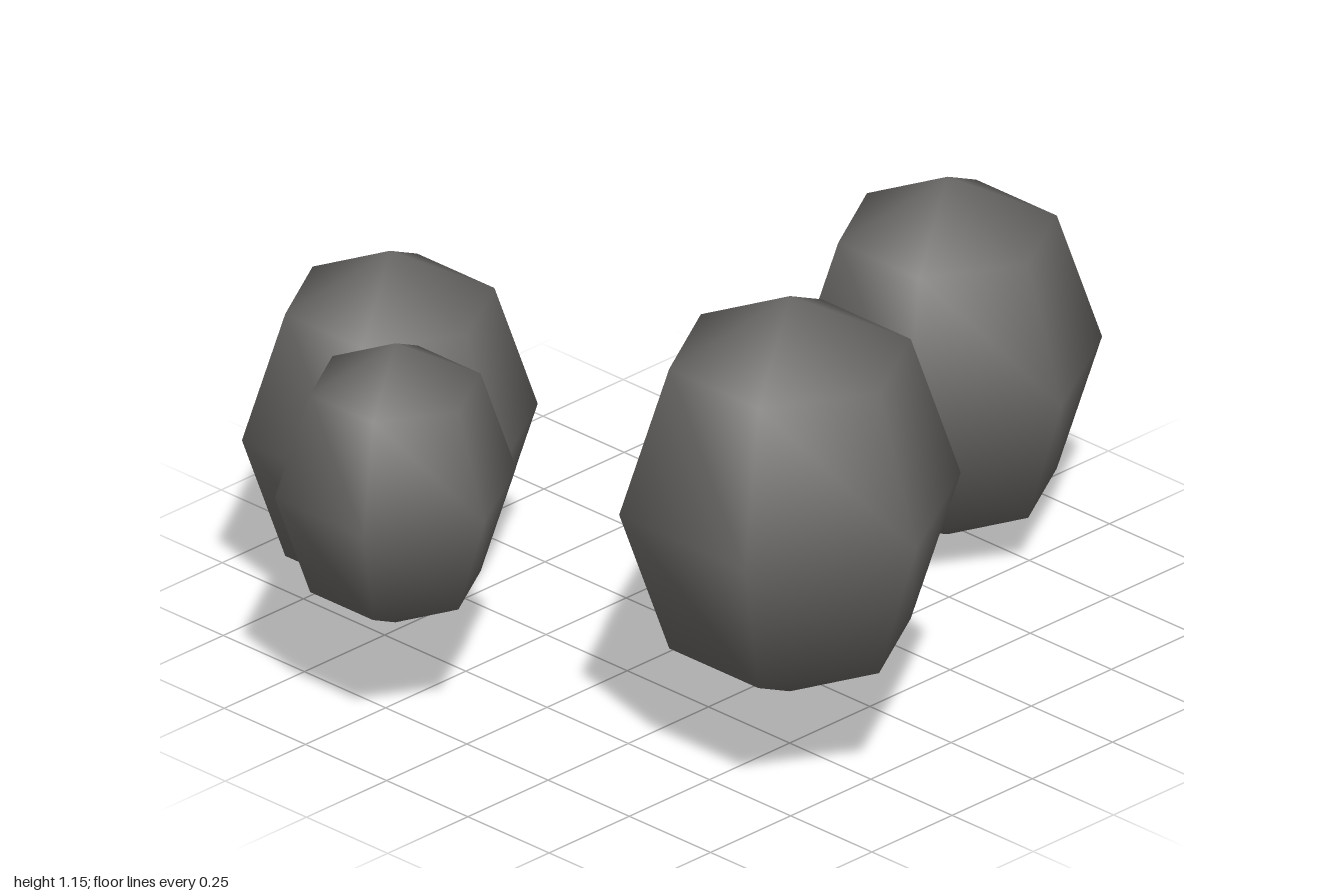
import * as THREE from 'three';

export function createModel() {
  const group = new THREE.Group();
  const stone = new THREE.MeshStandardMaterial({ color: 0x696765 });
  stone.name = 'stoneGrey';

  // One coarse six-sided sphere shared by all rocks, with smooth normals
  const geometry = new THREE.SphereGeometry(1, 6, 4);

  // Each rock: name, centre x, y, z and radius; all are 1.25 times taller than wide
  const rocks = [
    ['leftRock', 0.577, 0.667, 0.327, 0.388],
    ['rightRock', -0.635, 0.42, 0.347, 0.336],
    ['smallFrontRock', -0.21, 0.57, 0.76, 0.274],
    ['backRock', 0.052, 0.452, -0.696, 0.351],
  ];
  for (const [name, x, y, z, r] of rocks) {
    const rock = new THREE.Mesh(geometry, stone);
    rock.name = name;
    rock.position.set(x, y, z);
    rock.scale.set(r, r * 1.25, r);
    group.add(rock);
  }
  return group;
}
